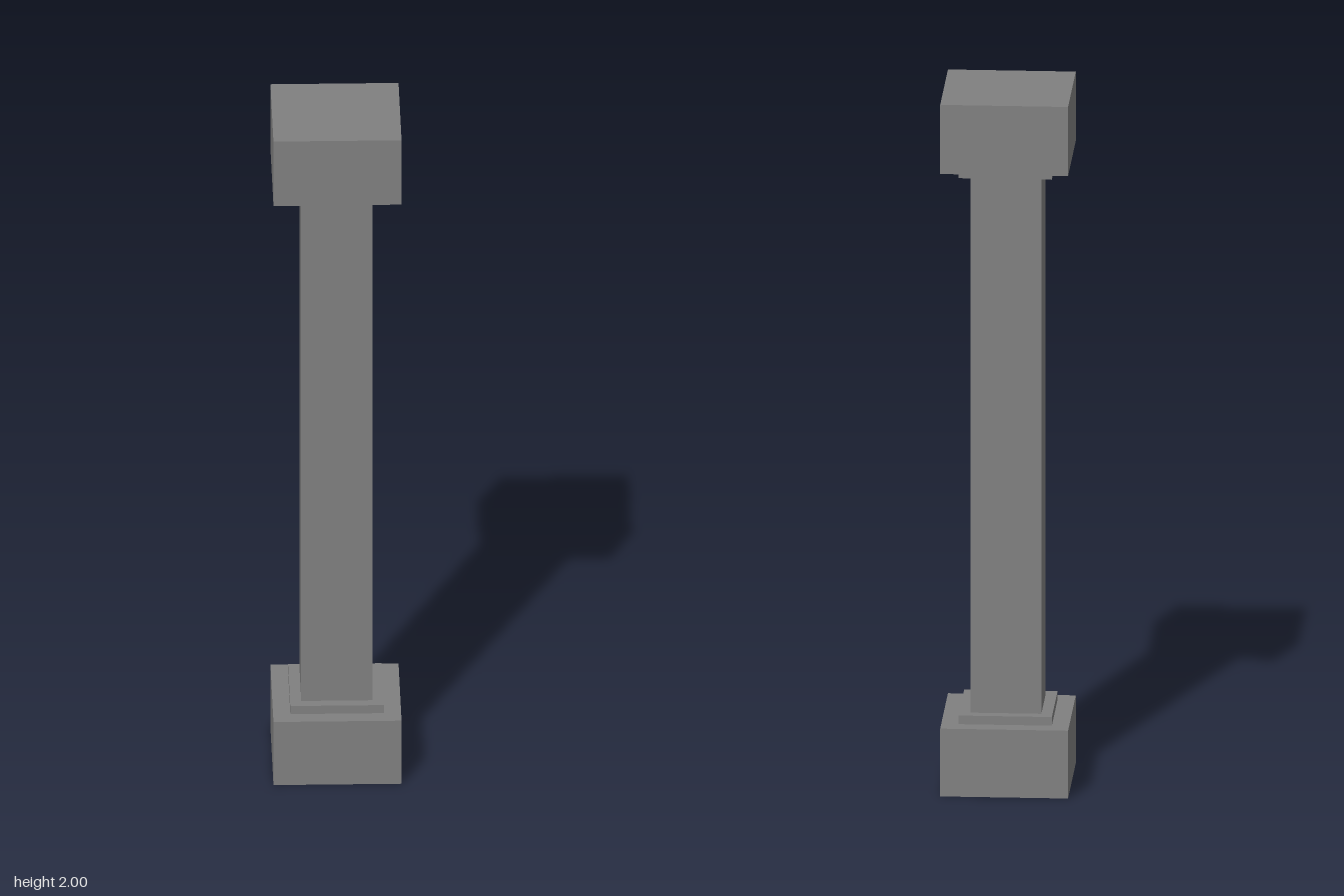
import * as THREE from 'three';

const material = new THREE.MeshStandardMaterial({ color: 0x808080, flatShading: true });

// Square block of the given width, spanning y0 to y1
function block(name, width, y0, y1) {
  const mesh = new THREE.Mesh(new THREE.BoxGeometry(width, y1 - y0, width), material);
  mesh.name = name;
  mesh.position.y = (y0 + y1) / 2;
  return mesh;
}

export function createModel() {
  const pillar = new THREE.Group();
  pillar.name = 'pillar';

  // Stacked from foot to head
  pillar.add(
    block('basePlinth', 0.356, 0, 0.196),
    block('baseCollar', 0.26, 0.196, 0.221),
    block('shaft', 0.198, 0.221, 1.775),
    block('capitalCollar', 0.26, 1.775, 1.8),
    block('capitalBlock', 0.356, 1.8, 2)
  );
  return pillar;
}
